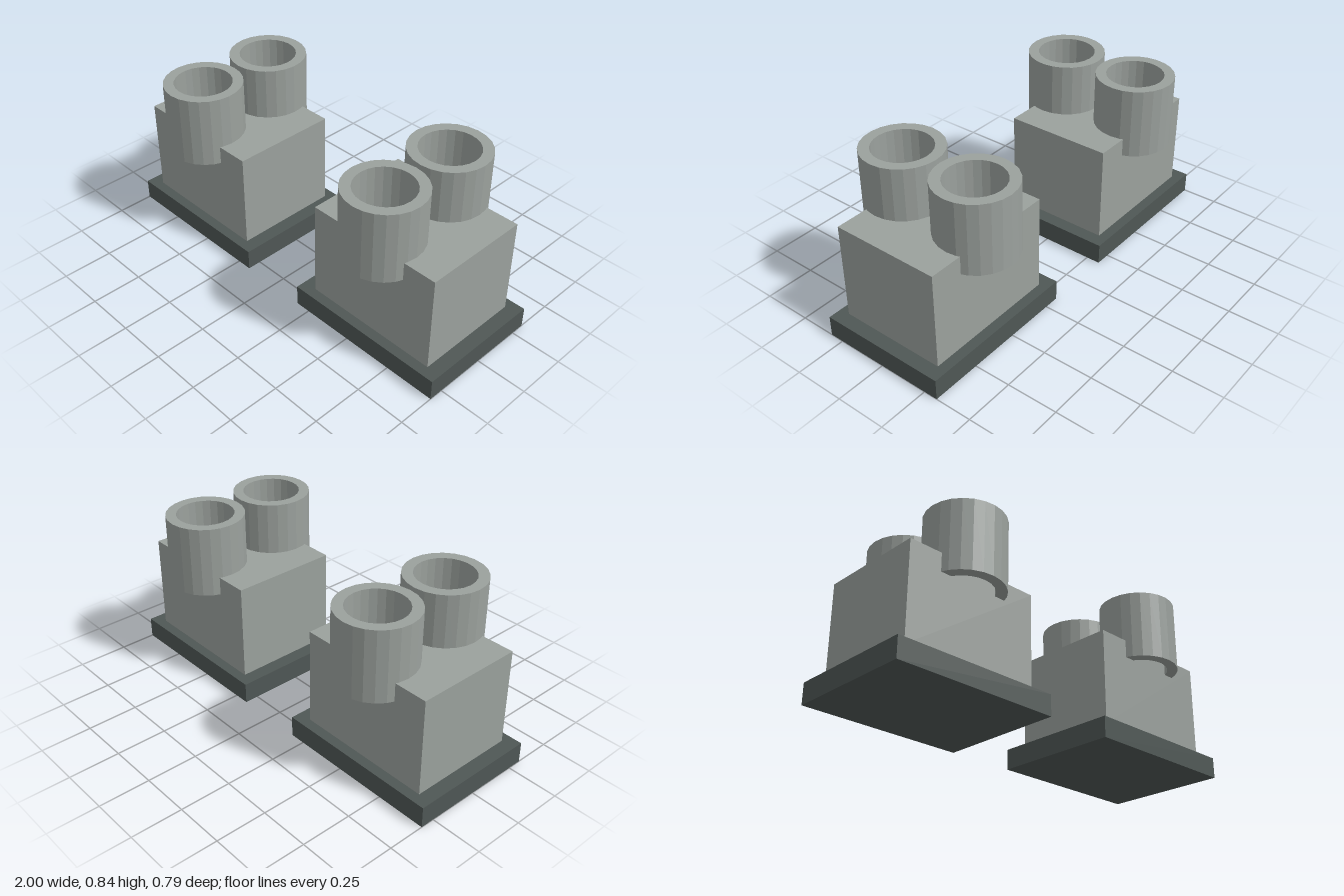
import * as THREE from 'three';

export function createModel() {
  const model = new THREE.Group();
  model.name = 'twinTubeBlocks';

  const lightGrey = new THREE.MeshStandardMaterial({ color: 0x9ba19d });
  lightGrey.name = 'lightGrey';
  const darkGrey = new THREE.MeshStandardMaterial({ color: 0x4f5755 });
  darkGrey.name = 'darkGrey';

  const addPart = (parent, name, geometry, material, x, y, z) => {
    const mesh = new THREE.Mesh(geometry, material);
    mesh.name = name;
    mesh.position.set(x, y, z);
    parent.add(mesh);
  };

  const baseGeometry = new THREE.BoxGeometry(0.826, 0.103, 0.638);
  const bodyGeometry = new THREE.BoxGeometry(0.687, 0.477, 0.537);

  // Open tube: closed ring profile turned in 24 flat facets
  const inner = 0.14, outer = 0.191, height = 0.349;
  const profile = [[inner, 0], [outer, 0], [outer, height], [inner, height], [inner, 0]]
    .map(([r, y]) => new THREE.Vector2(r, y));
  const tubeGeometry = new THREE.LatheGeometry(profile, 24).toNonIndexed();
  tubeGeometry.computeVertexNormals();

  for (const side of [-1, 1]) {
    const block = new THREE.Group();
    block.name = side > 0 ? 'leftBlock' : 'rightBlock';
    block.position.x = side * 0.587;
    addPart(block, 'basePlate', baseGeometry, darkGrey, 0, 0.0515, 0);
    addPart(block, 'body', bodyGeometry, lightGrey, 0, 0.3415, 0);
    // Tubes overhang the front and back of the body
    addPart(block, 'frontTube', tubeGeometry, lightGrey, 0, 0.49, 0.204);
    addPart(block, 'backTube', tubeGeometry, lightGrey, 0, 0.49, -0.204);
    model.add(block);
  }
  return model;
}
